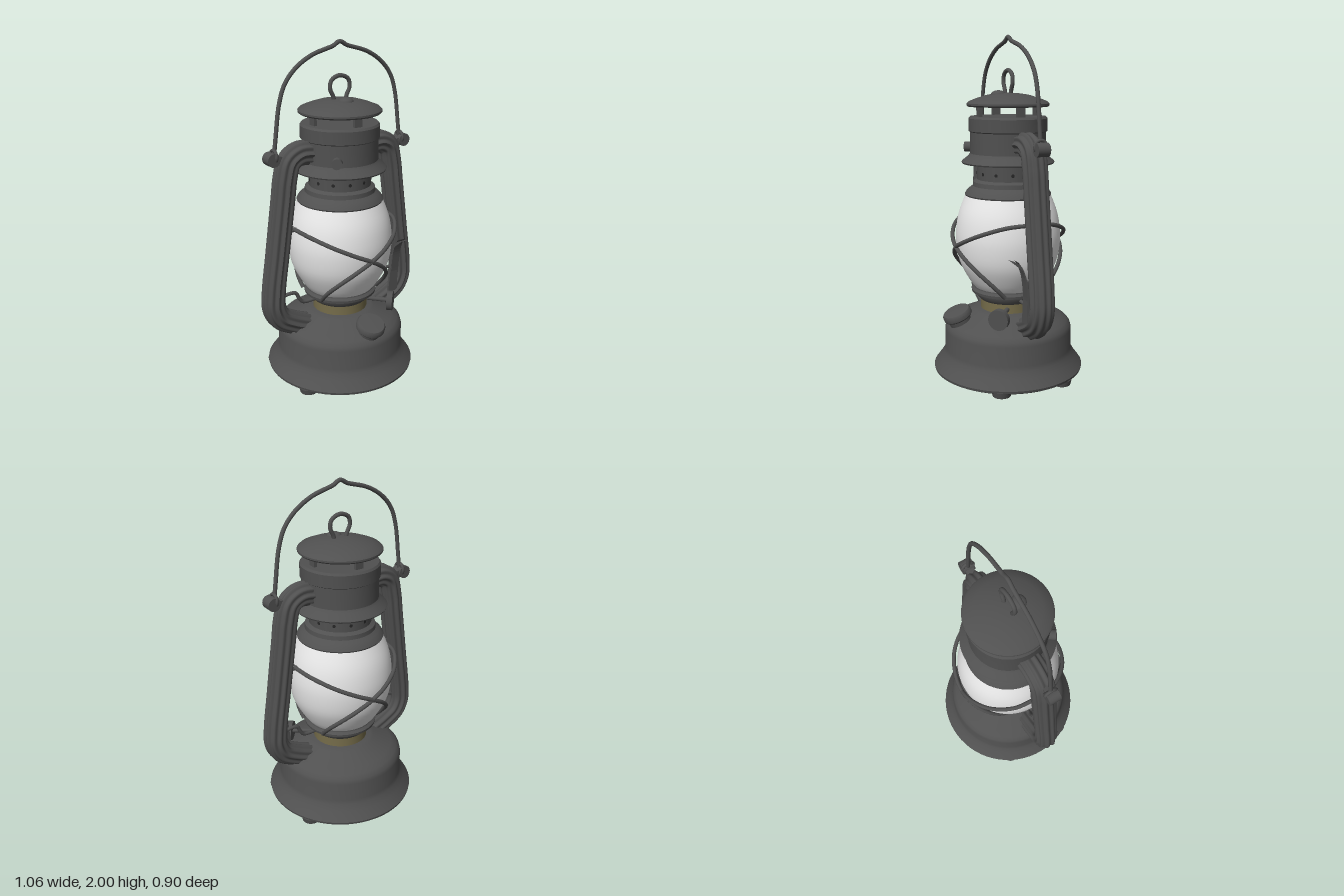
import * as THREE from 'three';
import { toCreasedNormals } from 'three/addons/utils/BufferGeometryUtils.js';

const mat = (name, color, side = THREE.FrontSide) => {
  const m = new THREE.MeshStandardMaterial({ color, side });
  m.name = name;
  return m;
};

export function createModel() {
  const metal = mat('dark metal', 0x505050);
  const brass = mat('aged brass', 0x756c4a);
  const glassMat = mat('frosted glass', 0xf0f0f0, THREE.DoubleSide);
  const black = mat('vent black', 0x262626);

  const model = new THREE.Group();
  model.name = 'lantern';
  const add = (name, geometry, material = metal, pos = [0, 0, 0]) => {
    const mesh = new THREE.Mesh(geometry, material);
    mesh.name = name;
    mesh.position.set(...pos);
    model.add(mesh);
    return mesh;
  };
  const lathe = (pts, crease = 0.6) => toCreasedNormals(
    new THREE.LatheGeometry(pts.map(([r, y]) => new THREE.Vector2(r, y)), 64), crease);
  const curve = (pts) => new THREE.CatmullRomCurve3(
    pts.map(([x, y, z = 0]) => new THREE.Vector3(x, y, z)), false, 'centripetal');
  const wire = (name, pts, radius, segments = 48) =>
    add(name, new THREE.TubeGeometry(curve(pts), segments, radius, 10), metal);
  const mirrorX = (pts, s) => pts.map(([x, y, z = 0]) => [x * s, y, z]);

  // Fuel tank and feet
  add('fuelTank', lathe([[0, 0.03], [0.43, 0.022], [0.447, 0.032], [0.45, 0.046], [0.437, 0.064],
    [0.41, 0.1], [0.39, 0.135], [0.382, 0.16], [0.382, 0.275], [0.375, 0.3], [0.355, 0.322],
    [0.32, 0.342], [0.24, 0.375], [0.21, 0.392], [0.19, 0.4], [0, 0.402]]));
  for (const x of [-0.345, 0.345]) for (const z of [-0.19, 0.19])
    add('foot', new THREE.CylinderGeometry(0.06, 0.052, 0.034, 24), metal, [x, 0.017, z]);

  // Burner
  add('burnerCollar', lathe([[0.165, 0.395], [0.165, 0.465], [0, 0.465]]), brass);
  add('burnerGallery', lathe([[0, 0.455], [0.165, 0.455], [0.185, 0.475], [0.19, 0.495], [0.218, 0.503],
    [0.22, 0.518], [0.205, 0.53], [0.2, 0.55], [0, 0.55]]));

  // Glass globe
  const globe = new THREE.SplineCurve([[0.19, 0.52], [0.235, 0.58], [0.29, 0.69], [0.31, 0.81],
    [0.305, 0.91], [0.285, 1.0], [0.245, 1.1]].map(([r, y]) => new THREE.Vector2(r, y)));
  add('glassGlobe', new THREE.LatheGeometry(globe.getPoints(24), 64), glassMat);

  // Globe holder and throat with vent holes
  add('globeHolder', lathe([[0, 1.08], [0.25, 1.08], [0.255, 1.092], [0.245, 1.108], [0.228, 1.125],
    [0.208, 1.14], [0.205, 1.165], [0.182, 1.178], [0.182, 1.3]]));
  for (let i = 0; i < 12; i++) {
    const a = (i + 0.5) / 12 * Math.PI * 2;
    const hole = add('ventHole', new THREE.CircleGeometry(0.01, 12), black,
      [Math.sin(a) * 0.184, 1.215, Math.cos(a) * 0.184]);
    hole.rotation.y = a;
  }

  // Chimney with flared skirt
  add('chimney', lathe([[0.18, 1.272], [0.268, 1.272], [0.272, 1.28], [0.266, 1.288], [0.232, 1.315],
    [0.222, 1.33], [0.22, 1.452], [0.229, 1.458], [0.229, 1.53], [0.22, 1.542], [0, 1.542]], 0.5));
  const screw = add('chimneyScrew', new THREE.CylinderGeometry(0.03, 0.03, 0.06, 20), metal, [-0.14, 1.36, 0.185]);
  screw.rotation.set(Math.PI / 2, 0, 0.64, 'YXZ');
  screw.rotation.set(Math.PI / 2, -0.64, 0, 'YXZ');

  // Roof on four posts, with lifting ring
  for (let i = 0; i < 4; i++) {
    const a = i * Math.PI / 2;
    const post = add('roofPost', new THREE.BoxGeometry(0.05, 0.08, 0.018), metal,
      [Math.sin(a) * 0.178, 1.572, Math.cos(a) * 0.178]);
    post.rotation.y = a;
  }
  add('roof', lathe([[0, 1.597], [0.232, 1.597], [0.24, 1.605], [0.24, 1.615], [0.228, 1.627],
    [0.18, 1.646], [0.12, 1.664], [0.06, 1.673], [0, 1.676]]));
  wire('roofRing', [[-0.035, 1.65], [-0.045, 1.69], [-0.065, 1.735], [-0.055, 1.78], [0, 1.803],
    [0.055, 1.78], [0.065, 1.735], [0.045, 1.69], [0.035, 1.65]], 0.012);
  add('roofCatch', new THREE.SphereGeometry(0.045, 20, 12), metal, [0, 1.663, 0.06]).scale.y = 0.6;

  // Ribbed side tubes, bail ears and lift wire, mirrored
  const framePath = [[0.19, 1.39], [0.275, 1.395], [0.335, 1.36], [0.363, 1.27], [0.38, 1.15],
    [0.425, 0.83], [0.457, 0.6], [0.459, 0.5], [0.425, 0.425], [0.35, 0.375], [0.25, 0.33]];
  for (const s of [-1, 1]) {
    const path = curve(mirrorX(framePath, s)), steps = 80, sides = 60;
    const tube = new THREE.TubeGeometry(path, steps, 0.065, sides);
    const p = tube.attributes.position, n = tube.attributes.normal;
    for (let i = 0; i < p.count; i++) {
      const a = (i % (sides + 1)) / sides * Math.PI * 2;
      const d = 0.006 * Math.cos(a * 10);
      p.setXYZ(i, p.getX(i) + n.getX(i) * d, p.getY(i) + n.getY(i) * d, p.getZ(i) + n.getZ(i) * d);
    }
    tube.computeVertexNormals();
    add('sideTube', tube);

    const ear = add('bailEar', new THREE.CylinderGeometry(0.038, 0.038, 0.07, 24), metal, [s * 0.445, 1.385, 0]);
    ear.rotation.x = Math.PI / 2;
    const arm = add('bailEarArm', new THREE.BoxGeometry(0.1, 0.045, 0.05), metal, [s * 0.4, 1.375, 0]);
    arm.rotation.z = s * 0.2;
    add('bailLoop', new THREE.TorusGeometry(0.034, 0.01, 8, 24), metal, [s * 0.43, 1.4, 0]).rotation.y = Math.PI / 2;

    wire('liftWire', mirrorX([[0.43, 0.53], [0.39, 0.552], [0.315, 0.552], [0.29, 0.51],
      [0.265, 0.483], [0.15, 0.48]], s), 0.011);
  }

  // Carrying bail
  const half = [[0.43, 1.385], [0.415, 1.5], [0.388, 1.68], [0.35, 1.785], [0.28, 1.865],
    [0.18, 1.925], [0.08, 1.955], [0.045, 1.965]];
  wire('bail', [...mirrorX(half, -1), [0, 1.988], ...half.reverse()], 0.012, 120);

  // Crossed guard wires around the globe: angle from front, radius, height
  const guard = [[-90, 0.315, 0.955], [-65, 0.325, 0.945], [-40, 0.33, 0.9], [-18, 0.33, 0.845],
    [0, 0.33, 0.795], [18, 0.318, 0.73], [35, 0.295, 0.655], [50, 0.262, 0.58], [62, 0.225, 0.515]];
  for (const sx of [-1, 1]) for (const sz of [-1, 1])
    wire('guardWire', guard.map(([deg, r, y]) => {
      const a = deg * Math.PI / 180;
      return [sx * r * Math.sin(a), y, sz * r * Math.cos(a)];
    }), 0.012, 60);
  for (const s of [-1, 1])
    wire('guardHook', [[s * 0.3, 0.95], [s * 0.42, 0.95]], 0.012, 4);

  // Tilted filler cap
  const cap = new THREE.Group();
  cap.name = 'fillerCap';
  cap.position.set(0, 0.335, 0.305);
  cap.rotation.x = 0.38;
  for (const [name, pts] of [
    ['capNeck', [[0.065, -0.05], [0.065, 0.045]]],
    ['capLid', [[0.06, 0.035], [0.08, 0.037], [0.086, 0.045], [0.086, 0.068], [0.078, 0.08], [0, 0.085]]]]) {
    const m = new THREE.Mesh(lathe(pts), metal);
    m.name = name;
    cap.add(m);
  }
  model.add(cap);

  // Wick knob on its shaft
  wire('wickShaft', [[0.1, 0.43, 0.03], [0.26, 0.416, 0.165]], 0.014, 4);
  const knob = add('wickKnob', new THREE.CylinderGeometry(0.06, 0.06, 0.035, 28), metal, [0.262, 0.415, 0.17]);
  knob.rotation.set(Math.PI / 2, Math.PI / 4, 0, 'YXZ');

  // Globe lift lever: a flat strip bent outward at the top
  const profile = curve([[0, 0.42, 0.05], [0, 0.6, 0.065], [0, 0.7, 0.08], [0, 0.775, 0.115], [0, 0.8, 0.17]]).getPoints(20);
  const outline = new THREE.Shape([
    ...profile.map((q) => new THREE.Vector2(-q.z, q.y)),
    ...profile.reverse().map((q) => new THREE.Vector2(-q.z + 0.012, q.y - 0.016))]);
  const strip = new THREE.ExtrudeGeometry(outline, { depth: 0.055, bevelEnabled: false });
  strip.rotateY(Math.PI / 2);
  add('liftLever', strip, metal, [0.35, 0, 0]);
  const plate = new THREE.Shape([[0.33, 0.41], [0.4, 0.41], [0.4, 0.66], [0.355, 0.66]].map(([x, y]) => new THREE.Vector2(x, y)));
  add('leverPlate', new THREE.ExtrudeGeometry(plate, { depth: 0.015, bevelEnabled: false }), metal, [0, 0, 0.045]);

  return model;
}
